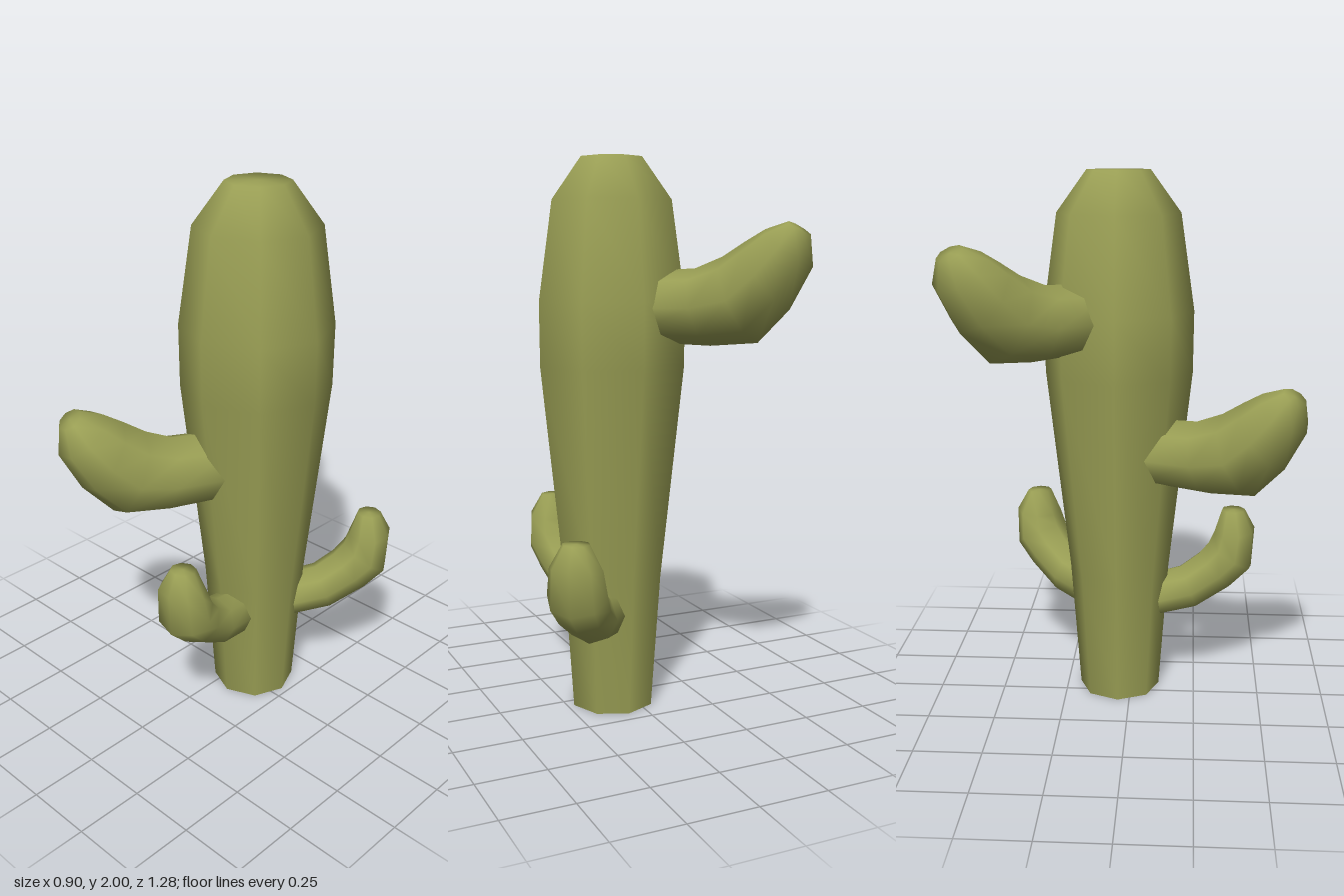
import * as THREE from 'three';
import { mergeVertices } from 'three/addons/utils/BufferGeometryUtils.js';

const SIDES = 8;

// Cross-sections of an arm growing along +z:
// [z of underside, y of underside, z of upper side, y of upper side, half width]
const BIG_ARM = [
  [0.14, -0.135, 0.14, 0.115, 0.14],
  [0.38, -0.14, 0.32, 0.125, 0.142],
  [0.55, -0.125, 0.42, 0.165, 0.15],
  [0.66, -0.01, 0.50, 0.215, 0.145],
  [0.735, 0.13, 0.57, 0.255, 0.12],
  [0.725, 0.23, 0.65, 0.28, 0.06],
];
const SMALL_ARM = [
  [0.12, -0.095, 0.12, 0.08, 0.088],
  [0.30, -0.06, 0.24, 0.105, 0.095],
  [0.44, 0.025, 0.31, 0.155, 0.1],
  [0.52, 0.1, 0.35, 0.20, 0.108],
  [0.53, 0.26, 0.37, 0.24, 0.095],
  [0.49, 0.335, 0.40, 0.335, 0.048],
];

// Skin of eight-sided rings, closed at the tip
function armGeometry(sections) {
  const pos = [], index = [];
  sections.forEach(([z0, y0, z1, y1, w], i) => {
    for (let j = 0; j < SIDES; j++) {
      const a = (j / SIDES) * Math.PI * 2, c = Math.cos(a) / 2;
      pos.push(w * Math.sin(a), (y0 + y1) / 2 + (y0 - y1) * c, (z0 + z1) / 2 + (z0 - z1) * c);
      if (i === sections.length - 1) continue;
      const k = (j + 1) % SIDES, r = i * SIDES, n = r + SIDES;
      index.push(r + j, r + k, n + j, r + k, n + k, n + j);
    }
  });
  const last = (sections.length - 1) * SIDES;
  const [z0, y0, z1, y1] = sections[sections.length - 1];
  pos.push(0, (y0 + y1) / 2, (z0 + z1) / 2);
  for (let j = 0; j < SIDES; j++) index.push(last + SIDES, last + j, last + ((j + 1) % SIDES));
  const geo = new THREE.BufferGeometry();
  geo.setAttribute('position', new THREE.Float32BufferAttribute(pos, 3));
  geo.setIndex(index);
  geo.computeVertexNormals();
  return geo;
}

// Lathe with its seam and crown welded, so the shading stays smooth over the top
function trunkGeometry() {
  const profile = [[0.155, 0], [0.19, 0.5], [0.274, 1.27], [0.276, 1.5], [0.225, 1.85], [0.115, 2], [0, 2]]
    .map(([r, y]) => new THREE.Vector2(r, y));
  const lathe = new THREE.LatheGeometry(profile, SIDES);
  lathe.deleteAttribute('normal');
  lathe.deleteAttribute('uv');
  const geo = mergeVertices(lathe);
  geo.computeVertexNormals();
  return geo;
}

export function createModel() {
  const model = new THREE.Group();
  model.name = 'cactus';
  const green = new THREE.MeshStandardMaterial({ color: 0x999e54, side: THREE.DoubleSide });

  const plant = new THREE.Group();
  plant.name = 'plant';
  plant.position.set(0.07, 0, -0.045);
  model.add(plant);

  // Trunk, open underneath
  const trunk = new THREE.Mesh(trunkGeometry(), green);
  trunk.name = 'trunk';
  plant.add(trunk);

  // Arms: name, shape, root height, outward direction (x, z)
  const big = armGeometry(BIG_ARM), small = armGeometry(SMALL_ARM);
  const arms = [
    ['bigFrontArm', big, 0.99, -0.41, 0.91],
    ['bigBackArm', big, 1.49, -0.65, -0.76],
    ['smallFrontArm', small, 0.38, 0.145, 0.99],
    ['smallBackArm', small, 0.38, 0.63, -0.775],
  ];
  for (const [name, geo, y, dx, dz] of arms) {
    const arm = new THREE.Mesh(geo, green);
    arm.name = name;
    arm.position.y = y;
    arm.rotation.y = Math.atan2(dx, dz);
    plant.add(arm);
  }
  return model;
}
